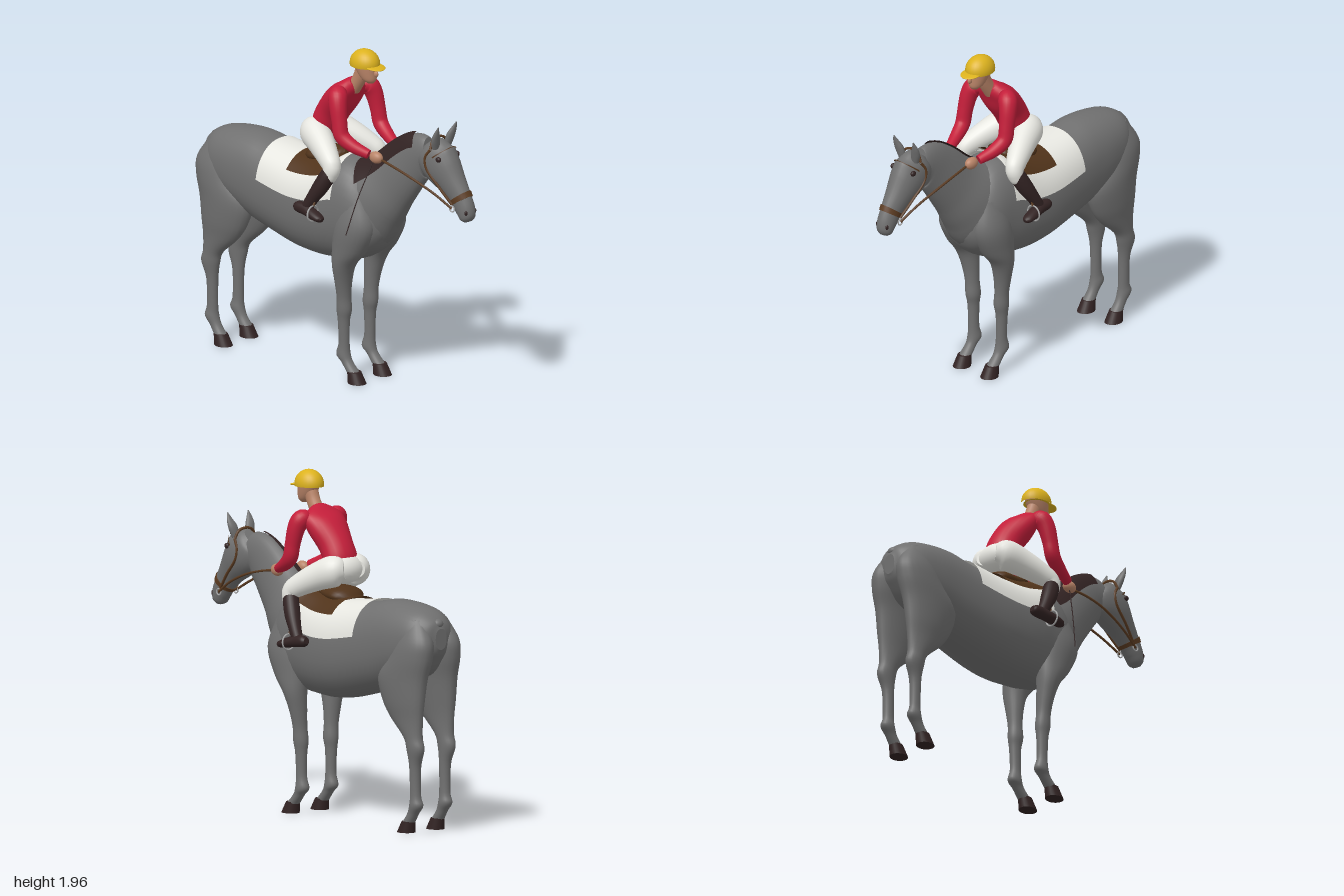
import * as THREE from 'three';

const V = (x, y, z) => new THREE.Vector3(x, y, z);
const mat = (name, color, side = THREE.FrontSide) => {
  const m = new THREE.MeshStandardMaterial({ color, side });
  m.name = name;
  return m;
};

// Skin through sections [x, y, z, halfWidth, halfDepth].
// axis fixes the ring plane; from/to pick a section range; a0/a1 make an open sheet.
function loft(sections, { axis, from = 0, to = sections.length - 1, a0 = 0, a1 = Math.PI * 2,
  grow = 0, power = 1, steps = 5, sides = 24 } = {}) {
  const centre = new THREE.CatmullRomCurve3(sections.map(s => V(s[0], s[1], s[2])), false, 'catmullrom');
  const size = new THREE.CatmullRomCurve3(sections.map(s => V(s[3], s[4], 0)), false, 'catmullrom');
  const closed = a1 - a0 > 6.28, rows = Math.ceil((to - from) * steps), cols = closed ? sides : sides + 1;
  const pos = [], idx = [], pw = v => Math.sign(v) * Math.abs(v) ** power;
  for (let i = 0; i <= rows; i++) {
    const t = (from + (to - from) * i / rows) / (sections.length - 1);
    const c = centre.getPoint(t), d = size.getPoint(t), T = axis || centre.getTangent(t);
    const S = V(1, 0, 0).addScaledVector(T, -T.x).normalize(), U = T.clone().cross(S);
    for (let j = 0; j < cols; j++) {
      const a = a0 + (a1 - a0) * j / sides;
      const p = c.clone().addScaledVector(S, (d.x + grow) * pw(Math.cos(a)))
        .addScaledVector(U, (d.y + grow) * pw(Math.sin(a)));
      pos.push(p.x, p.y, p.z);
    }
  }
  for (let i = 0; i < rows; i++) for (let j = 0; j < sides; j++) {
    const a = i * cols + j, b = i * cols + (j + 1) % cols, c = a + cols, d = b + cols;
    idx.push(a, b, c, b, d, c);
  }
  // Separate end caps keep their rims crisp
  if (closed) for (const end of [0, rows]) {
    const base = pos.length / 3, t = (end ? to : from) / (sections.length - 1), c = centre.getPoint(t);
    pos.push(...pos.slice(end * cols * 3, (end + 1) * cols * 3), c.x, c.y, c.z);
    for (let j = 0; j < cols; j++) {
      const a = base + j, b = base + (j + 1) % cols;
      idx.push(base + cols, ...(end ? [a, b] : [b, a]));
    }
  }
  const g = new THREE.BufferGeometry();
  g.setAttribute('position', new THREE.Float32BufferAttribute(pos, 3));
  g.setIndex(idx);
  g.computeVertexNormals();
  return g;
}

const tube = (pts, r) => new THREE.TubeGeometry(
  new THREE.CatmullRomCurve3(pts.map(p => V(...p))), 24, r, 6);

export function createModel() {
  const root = new THREE.Group();
  root.name = 'horseAndRider';
  const grey = mat('greyCoat', 0x707070), dark = mat('darkLeather', 0x322323, THREE.DoubleSide);
  const white = mat('whiteCloth', 0xe6e6e0, THREE.DoubleSide), brown = mat('saddleBrown', 0x50331a, THREE.DoubleSide);
  const strap = mat('bridleBrown', 0x5c3c22), red = mat('redJacket', 0xc41e3a), skin = mat('skin', 0xb98468);
  const yellow = mat('yellowCap', 0xdcb21e), steel = mat('steel', 0xa8a8a8);
  const add = (name, geo, m) => {
    const o = new THREE.Mesh(geo, m);
    o.name = name;
    root.add(o);
    return o;
  };
  const ball = (name, m, p, s) => {
    const o = add(name, new THREE.SphereGeometry(1, 24, 16), m);
    o.position.set(...p);
    o.scale.set(...s);
    return o;
  };

  // Trunk: [z, top, bottom, halfWidth]
  const trunk = [
    [-.985, 1.17, 1.05, .04], [-.96, 1.22, 1, .1], [-.88, 1.27, .9, .165], [-.75, 1.295, .85, .19],
    [-.6, 1.3, .79, .2], [-.46, 1.275, .75, .21], [-.25, 1.25, .7, .225], [-.1, 1.255, .685, .225],
    [.02, 1.285, .69, .22], [.11, 1.315, .7, .212], [.22, 1.27, .73, .2], [.32, 1.14, .8, .16],
    [.37, 1.03, .87, .1], [.385, .97, .91, .04],
  ].map(([z, t, b, w]) => [0, (t + b) / 2, z, w, (t - b) / 2]);
  const body = { axis: V(0, 0, 1), power: .88, sides: 36 };
  add('trunk', loft(trunk, body), grey);
  ball('tailDock', grey, [0, 1.195, -.95], [.035, .03, .035]);

  // Saddle cloth and saddle wrap the trunk
  add('saddleCloth', loft(trunk, { ...body, from: 5, to: 9, a0: .23, a1: Math.PI - .23, grow: .013 }), white);
  add('saddle', loft(trunk, { ...body, from: 6, to: 8.6, a0: .74, a1: Math.PI - .74, grow: .026 }), brown);
  add('saddleSeat', loft([[0, 1.24, -.22, .06, .03], [0, 1.27, -.16, .11, .05], [0, 1.28, -.06, .1, .05],
    [0, 1.31, .03, .08, .04], [0, 1.32, .06, .04, .02]]), brown);

  // Neck, mane falling on the right side, head
  const neck = [[0, 1, .06, .13, .2], [0, 1.04, .18, .175, .265], [0, 1.125, .29, .15, .22],
    [0, 1.225, .395, .105, .178], [0, 1.345, .51, .077, .155], [0, 1.415, .6, .065, .135], [0, 1.43, .68, .06, .11]];
  add('neck', loft(neck), grey);
  add('mane', loft(neck, { from: 1.7, to: 5.2, a0: 1.5, a1: 2.7, grow: .01, sides: 10 }), dark);
  const head = [[0, 1.51, .68, .04, .06], [0, 1.485, .7, .072, .1], [0, 1.435, .73, .088, .135], [0, 1.375, .785, .088, .12],
    [0, 1.3, .855, .07, .087], [0, 1.23, .912, .055, .07], [0, 1.17, .947, .052, .06],
    [0, 1.125, .963, .045, .045], [0, 1.105, .97, .025, .022]];
  add('head', loft(head), grey);

  // Bridle
  add('noseband', loft(head, { from: 4.85, to: 5.2, grow: .006 }), strap);
  add('browband', loft(head, { from: 2, to: 2.15, a0: .35, a1: Math.PI - .35, grow: .007 }), brown);
  add('headpiece', tube([[-.075, 1.5, .745], [-.05, 1.545, .74], [0, 1.56, .735], [.05, 1.545, .74], [.075, 1.5, .745]], .008), strap);

  for (const s of [1, -1]) {
    const side = s > 0 ? 'left' : 'right';
    const limb = (name, sections, m, opts) =>
      add(side + name, loft(sections.map(([x, ...r]) => [x * s, ...r]), opts), m);
    const down = { axis: V(0, -1, 0) };

    // Horse legs and hooves
    limb('ForeLeg', [[.11, 1.12, .2, .07, .1], [.122, .95, .215, .1, .14], [.13, .8, .18, .087, .112],
      [.135, .7, .142, .07, .07], [.125, .6, .127, .054, .05], [.115, .5, .122, .042, .042], [.11, .42, .12, .042, .046],
      [.11, .35, .117, .033, .036], [.108, .22, .117, .03, .033], [.107, .15, .112, .037, .045],
      [.107, .11, .14, .031, .037], [.107, .055, .19, .035, .04]], grey, down);
    limb('HindLeg', [[.08, 1.22, -.84, .05, .08], [.095, 1.1, -.86, .085, .137], [.102, 1, -.835, .095, .163],
      [.11, .88, -.78, .09, .19], [.115, .75, -.79, .075, .165], [.115, .65, -.82, .058, .125],
      [.115, .55, -.875, .045, .068], [.115, .48, -.896, .042, .062], [.11, .38, -.888, .033, .036],
      [.108, .22, -.888, .03, .034], [.107, .16, -.893, .037, .045], [.107, .11, -.865, .031, .037],
      [.107, .055, -.825, .035, .04]], grey, down);
    for (const [name, z] of [['ForeHoof', .215], ['HindHoof', -.805]])
      limb(name, [[.107, .065, z - .022, .038, .042], [.107, 0, z, .049, .056]], dark, down);

    // Ears, eyes, nostrils
    limb('Ear', [[.05, 1.51, .765, .025, .018], [.062, 1.56, .775, .03, .02], [.072, 1.6, .79, .021, .014],
      [.076, 1.645, .808, .003, .003]], grey);
    ball(side + 'Eye', dark, [.078 * s, 1.455, .81], [.013, .016, .018]);
    ball(side + 'Nostril', dark, [.036 * s, 1.165, .983], [.01, .016, .01]);

    // Cheek strap, bit ring, rein
    add(side + 'CheekStrap', tube([[.056 * s, 1.2, .895], [.076 * s, 1.29, .815], [.087 * s, 1.39, .725],
      [.085 * s, 1.45, .715], [.075 * s, 1.5, .745]], .008), strap);
    const ring = add(side + 'BitRing', new THREE.TorusGeometry(.018, .004, 6, 16), steel);
    ring.position.set(.063 * s, 1.18, .9);
    ring.rotation.y = Math.PI / 2;
    add(side + 'Rein', tube([[.063 * s, 1.18, .9], [.085 * s, 1.25, .78], [.105 * s, 1.32, .6],
      [.1 * s, 1.355, .45], [.085 * s, 1.365, .36]], .007), strap);

    // Rider's arm and hand
    limb('Sleeve', [[.09, 1.7, .07, .04, .04], [.13, 1.69, .09, .055, .055], [.152, 1.64, .11, .05, .052],
      [.162, 1.55, .13, .043, .046], [.163, 1.47, .15, .042, .045], [.145, 1.42, .22, .037, .037],
      [.115, 1.385, .31, .027, .027]], red);
    ball(side + 'Hand', skin, [.093 * s, 1.37, .348], [.03, .035, .045]);

    // Rider's leg
    limb('Thigh', [[.04, 1.42, -.19, .05, .05], [.075, 1.415, -.14, .085, .09], [.125, 1.375, -.04, .075, .08],
      [.175, 1.32, .06, .06, .064], [.195, 1.285, .1, .052, .056], [.205, 1.24, .1, .045, .045],
      [.212, 1.21, .088, .035, .035]], white);
    limb('Boot', [[.2, 1.275, .105, .04, .04], [.212, 1.23, .085, .046, .047], [.232, 1.16, .048, .045, .046],
      [.25, 1.09, .005, .037, .037], [.262, 1.02, -.035, .032, .034]], dark);
    limb('Foot', [[.262, 1.03, -.112, .02, .018], [.264, 1.025, -.09, .032, .032], [.268, 1.02, -.03, .034, .034],
      [.278, 1.005, .04, .037, .028], [.284, .992, .09, .03, .02], [.287, .987, .108, .012, .01]], dark);

    // Stirrup
    const iron = add(side + 'Stirrup', new THREE.TorusGeometry(.045, .005, 6, 24), steel);
    iron.position.set(.276 * s, 1.01, .03);
    add(side + 'StirrupLeather', tube([[.236 * s, 1.17, .02], [.25 * s, 1.11, .03], [.27 * s, 1.055, .03]], .007), strap);
  }

  // Rider's seat, torso, neck
  ball('seat', white, [0, 1.42, -.135], [.125, .085, .09]);
  add('jacket', loft([[0, 1.42, -.12, .095, .07], [0, 1.47, -.1, .103, .088], [0, 1.55, -.055, .105, .09],
    [0, 1.64, .015, .13, .085], [0, 1.7, .065, .135, .06], [0, 1.735, .095, .08, .045], [0, 1.75, .11, .045, .03]]), red);
  add('neckOfRider', loft([[0, 1.7, .09, .04, .04], [0, 1.78, .14, .038, .042], [0, 1.84, .165, .04, .045]]), skin);

  // Rider's face and cap
  add('face', loft([[0, 1.765, .22, .018, .022], [0, 1.785, .21, .038, .045], [0, 1.82, .195, .05, .062],
    [0, 1.87, .182, .058, .073], [0, 1.9, .178, .055, .07]], { axis: V(0, 1, 0) }), skin);
  ball('nose', skin, [0, 1.825, .262], [.011, .018, .016]);
  const cap = add('cap', new THREE.SphereGeometry(1, 28, 12, 0, Math.PI * 2, 0, Math.PI * .55), yellow);
  cap.position.set(0, 1.872, .178);
  cap.scale.set(.077, .084, .094);
  add('capLining', new THREE.CircleGeometry(.075, 24).rotateX(Math.PI / 2).translate(0, 1.862, .178), yellow);
  ball('capPeak', yellow, [0, 1.865, .255], [.058, .009, .062]).rotation.x = .12;

  // Riding whip in the right hand
  add('whip', tube([[-.1, 1.36, .34], [-.18, 1.14, .29], [-.24, .92, .25]], .003), dark);
  return root;
}
